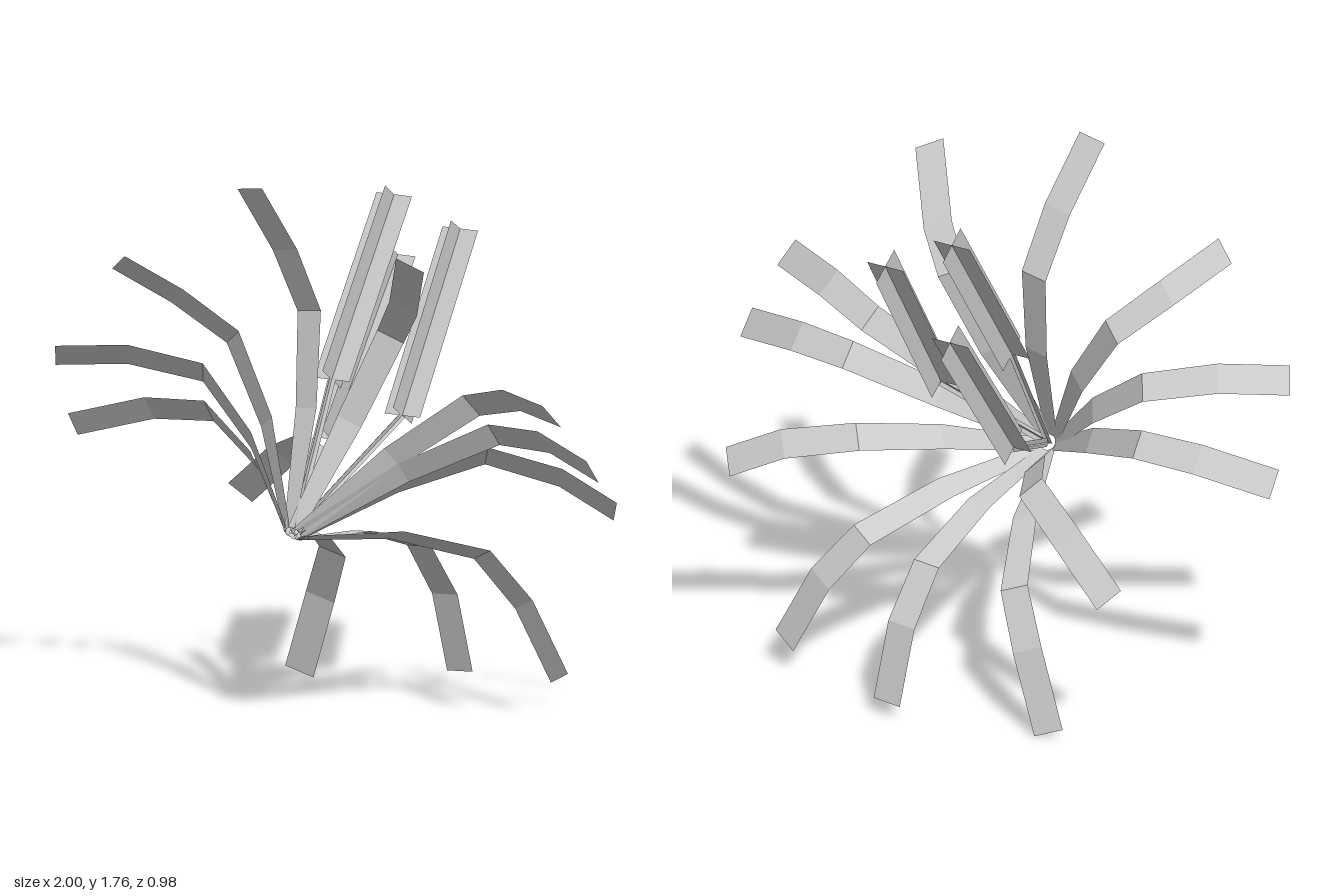
import * as THREE from 'three';

const material = new THREE.MeshStandardMaterial({
  color: 0xcccccc, flatShading: true, side: THREE.DoubleSide,
});
const V = (x, y, z) => new THREE.Vector3(x, y, z);

// Flat ribbon along a path, spread to both sides along one direction
function ribbon(name, path, widths, across) {
  const pos = [], index = [];
  path.forEach((p, i) => {
    for (const s of [-0.5, 0.5]) pos.push(...p.clone().addScaledVector(across, s * widths[i]).toArray());
    if (i) {
      const a = 2 * i - 2;
      index.push(a, a + 1, a + 2, a + 1, a + 3, a + 2);
    }
  });
  const geo = new THREE.BufferGeometry();
  geo.setAttribute('position', new THREE.Float32BufferAttribute(pos, 3));
  geo.setIndex(index);
  geo.computeVertexNormals();
  const mesh = new THREE.Mesh(geo, material);
  mesh.name = name;
  return mesh;
}

// Two ribbons crossing at right angles
function cross(name, from, to, width) {
  const group = new THREE.Group();
  group.name = name;
  const xAxis = V(1, 0, 0);
  const dir = to.clone().sub(from).normalize();
  const other = dir.clone().cross(xAxis).normalize();
  const flat = other.clone().cross(dir).normalize();
  for (const side of [flat, other]) group.add(ribbon(name + 'Blade', [from, to], [width, width], side));
  return group;
}

// The clump grows from this point, leaning backwards along this axis
const root = V(0, 0.645, 0.43);
const axis = V(0, 0.6, -0.8);

// Outer three points of each leaf: second bend, third bend, tip
const leaves = [
  [[-0.065, 1.33, 0.23], [-0.10, 1.54, 0.32], [-0.155, 1.755, 0.445]],
  [[0.235, 1.275, 0.22], [0.33, 1.39, 0.295], [0.465, 1.575, 0.47]],
  [[-0.363, 1.21, 0.215], [-0.51, 1.345, 0.315], [-0.64, 1.465, 0.46]],
  [[-0.507, 1.07, 0.165], [-0.735, 1.12, 0.255], [-0.935, 1.115, 0.37]],
  [[0.505, 1.07, 0.165], [0.70, 1.12, 0.235], [0.937, 1.115, 0.37]],
  [[-0.55, 0.922, 0.06], [-0.763, 0.912, 0.08], [-1.0, 0.848, 0.16]],
  [[0.54, 0.965, 0.085], [0.747, 0.968, 0.115], [0.997, 0.915, 0.22]],
  [[-0.30, 0.81, -0.185], [-0.50, 0.72, -0.295], [-0.688, 0.571, -0.35]],
  [[0.347, 0.83, -0.18], [0.587, 0.773, -0.245], [0.773, 0.677, -0.275]],
  [[0.315, 0.50, -0.205], [0.435, 0.34, -0.265], [0.55, 0.107, -0.295]],
  [[0.04, 0.49, -0.265], [0.065, 0.315, -0.38], [0.087, 0.057, -0.435]],
  [[-0.25, 0.45, -0.205], [-0.34, 0.28, -0.275], [-0.437, 0.022, -0.305]],
];

// Cattail heads: bottom and top centre
const heads = [
  [[-0.15, 0.855, -0.04], [-0.15, 1.39, -0.44]],
  [[0.167, 0.98, 0.04], [0.167, 1.53, -0.31]],
  [[-0.043, 1.09, 0.13], [-0.043, 1.63, -0.247]],
];

export function createModel() {
  const model = new THREE.Group();
  model.name = 'cattailPlant';

  // Arching leaves, narrow at the root
  leaves.forEach((data, i) => {
    const outer = data.map((p) => V(...p));
    const radial = outer[2].clone().sub(root).projectOnPlane(axis).normalize();
    const across = axis.clone().cross(radial);
    const start = root.clone().addScaledVector(radial, 0.025);
    const firstBend = start.clone().lerp(outer[0], 0.5).addScaledVector(axis, 0.05);
    model.add(ribbon('leaf' + (i + 1), [start, firstBend, ...outer], [0.045, 0.085, 0.095, 0.1, 0.1], across));
  });

  // Thin stalks carrying the cattail heads
  heads.forEach(([bottom, top], i) => {
    const b = V(...bottom);
    model.add(cross('stalk' + (i + 1), root, b, 0.03));
    model.add(cross('cattailHead' + (i + 1), b, V(...top), 0.134));
  });
  return model;
}
